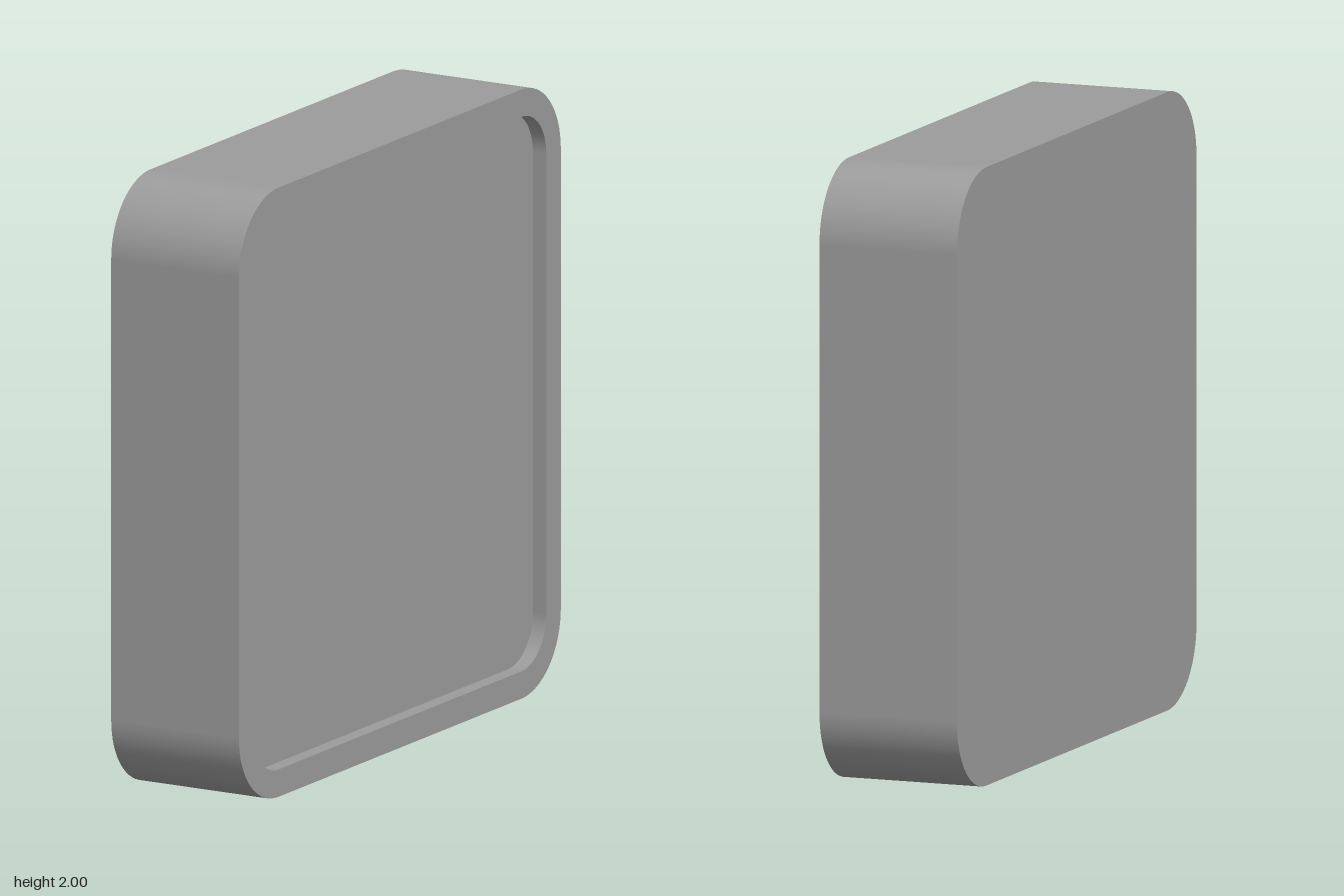
import * as THREE from 'three';

const SEG = 16; // segments per rounded corner

// Rounded-square loop in the yz plane, counter-clockwise seen from +x;
// each point carries its outward direction
function roundedLoop(x, half, radius) {
  const pts = [];
  for (let k = 0; k < 4; k++) {
    const mid = (k + 0.5) * Math.PI / 2;
    const cy = Math.sign(Math.cos(mid)) * (half - radius);
    const cz = Math.sign(Math.sin(mid)) * (half - radius);
    for (let i = 0; i <= SEG; i++) {
      const a = (k + i / SEG) * Math.PI / 2;
      const y = Math.cos(a), z = Math.sin(a);
      pts.push({ p: [x, 1 + cy + radius * y, cz + radius * z], out: [0, y, z] });
    }
  }
  return pts;
}

// A loop collapsed to the centre, used to close a flat face
const centre = (x) => roundedLoop(x, 0, 0);

export function createModel() {
  const group = new THREE.Group();
  group.name = 'recessedSquareTile';

  const back = roundedLoop(-0.237, 1, 0.245);
  const front = roundedLoop(0.237, 1, 0.245);
  const lip = roundedLoop(0.237, 0.91, 0.155);
  const floor = roundedLoop(0.187, 0.91, 0.155);

  // Normal rules: flat faces along x, smooth walls outward or inward
  const alongX = (s) => () => [s, 0, 0];
  const radial = (s) => (v) => v.out.map((c) => c * s);
  const strips = [
    [centre(-0.237), back, alongX(-1)], // flat back
    [back, front, radial(1)],           // outer wall
    [front, lip, alongX(1)],            // raised rim
    [lip, floor, radial(-1)],           // recess wall
    [floor, centre(0.187), alongX(1)],  // recess floor
  ];

  const pos = [], nor = [];
  for (const [a, b, normal] of strips) {
    for (let i = 0; i < a.length; i++) {
      const k = (i + 1) % a.length;
      for (const v of [a[i], a[k], b[k], a[i], b[k], b[i]]) {
        pos.push(...v.p);
        nor.push(...normal(v));
      }
    }
  }
  const geo = new THREE.BufferGeometry();
  geo.setAttribute('position', new THREE.Float32BufferAttribute(pos, 3));
  geo.setAttribute('normal', new THREE.Float32BufferAttribute(nor, 3));

  const body = new THREE.Mesh(geo, new THREE.MeshStandardMaterial({ color: 0x9c9c9c }));
  body.name = 'rimmedBody';
  group.add(body);
  return group;
}
